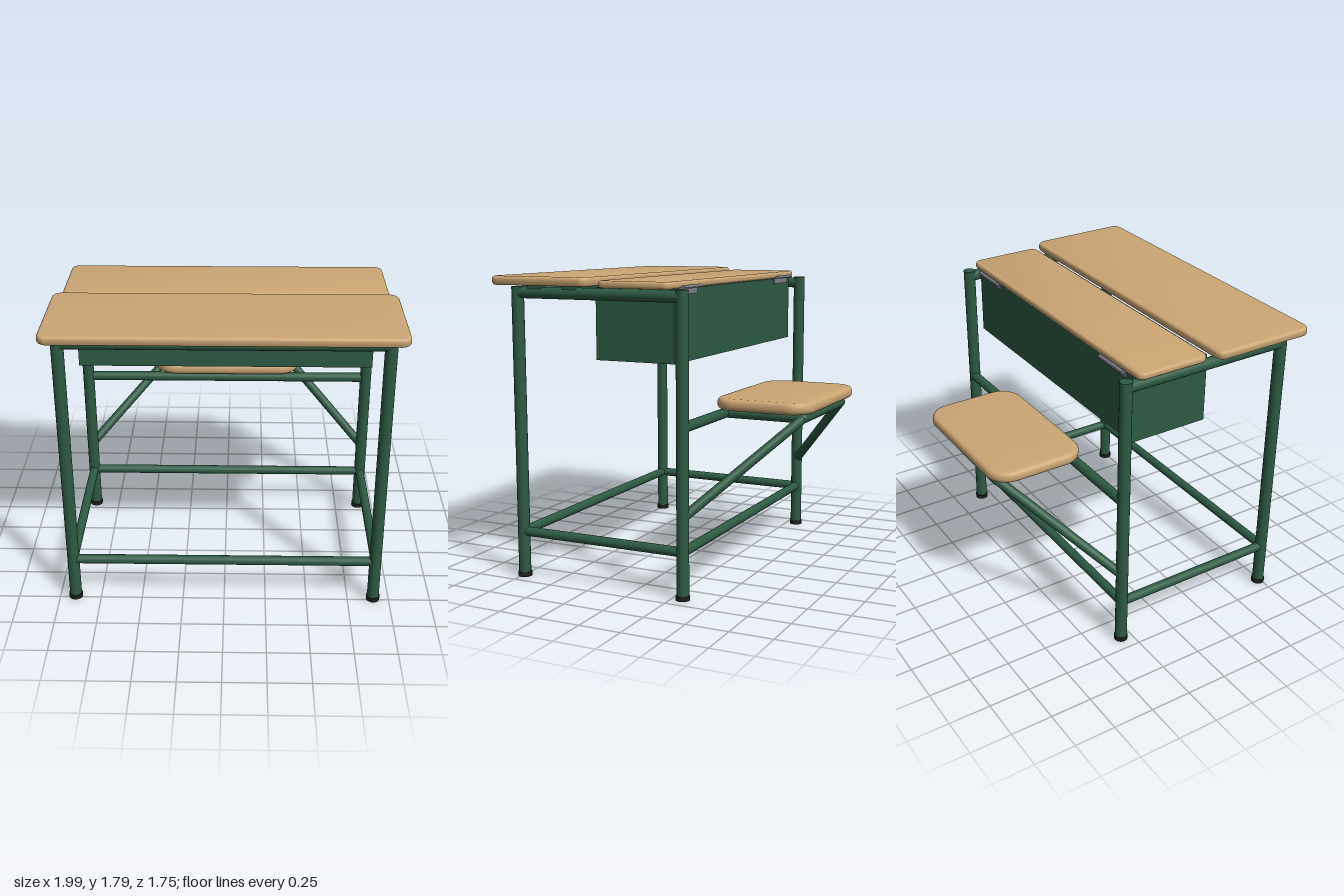
import * as THREE from 'three';
import { toCreasedNormals } from 'three/addons/utils/BufferGeometryUtils.js';

const material = (name, color) => {
  const m = new THREE.MeshStandardMaterial({ color });
  m.name = name;
  return m;
};

export function createModel() {
  const model = new THREE.Group();
  model.name = 'schoolDesk';
  const green = material('green paint', 0x2d5a43);
  const wood = material('light wood', 0xcca674);
  const black = material('black rubber', 0x1d1d1f);
  const grey = material('grey steel', 0x7d8188);

  const add = (name, geometry, mat, x = 0, y = 0, z = 0) => {
    const mesh = new THREE.Mesh(geometry, mat);
    mesh.name = name;
    mesh.position.set(x, y, z);
    model.add(mesh);
    return mesh;
  };
  const box = (name, mat, w, h, d, x, y, z) => add(name, new THREE.BoxGeometry(w, h, d), mat, x, y, z);

  // Straight round tube between two points
  const tube = (name, a, b, r, mat = green) => {
    const p = new THREE.Vector3(...a), q = new THREE.Vector3(...b);
    const dir = q.clone().sub(p);
    const mesh = add(name, new THREE.CylinderGeometry(r, r, dir.length(), 20), mat);
    mesh.position.copy(p).add(q).multiplyScalar(0.5);
    mesh.quaternion.setFromUnitVectors(new THREE.Vector3(0, 1, 0), dir.normalize());
    return mesh;
  };

  // Rounded wooden slab lying flat, with softened edges
  const board = (name, w, d, h, corner, bevel, y, z) => {
    const x = w / 2 - bevel, v = d / 2 - bevel, r = corner - bevel;
    const s = new THREE.Shape();
    s.absarc(x - r, v - r, r, 0, Math.PI / 2);
    s.absarc(-x + r, v - r, r, Math.PI / 2, Math.PI);
    s.absarc(-x + r, -v + r, r, Math.PI, Math.PI * 1.5);
    s.absarc(x - r, -v + r, r, Math.PI * 1.5, Math.PI * 2);
    s.closePath();
    let g = new THREE.ExtrudeGeometry(s, {
      depth: h - 2 * bevel, bevelEnabled: true, bevelSize: bevel,
      bevelThickness: bevel, bevelSegments: 4, curveSegments: 10,
    });
    g.translate(0, 0, bevel);
    g.rotateX(-Math.PI / 2);
    g = toCreasedNormals(g, 0.7);
    add(name, g, wood, 0, y, z);
  };

  const X = 0.905, F = 0.737, B = -0.317;

  // Legs, feet and side rails
  for (const x of [-X, X]) {
    for (const z of [F, B]) {
      tube('leg', [x, 0.01, z], [x, z === F ? 1.725 : 1.73, z], 0.036);
      tube('footCap', [x, 0, z], [x, 0.027, z], 0.041, black);
    }
    tube('sideTopRail', [x, 1.692, F], [x, 1.692, B], 0.034);
    tube('sideLowerRail', [x, 0.275, F], [x, 0.275, B], 0.028);
    for (const z of [0.61, 0.38]) box('sideBracket', green, 0.05, 0.03, 0.09, x, 1.723, z);
  }

  // Cross rails
  tube('frontTopRail', [-X, 1.692, F], [X, 1.692, F], 0.034);
  for (const z of [F, B]) tube('lowerRail', [-X, 0.275, z], [X, 0.275, z], 0.028);
  tube('seatRail', [-X, 0.98, B - 0.008], [X, 0.98, B - 0.008], 0.03);
  for (const x of [-0.47, 0.47]) box('frontBracket', green, 0.1, 0.03, 0.08, x, 1.723, F);

  // Open-topped storage bin
  const t = 0.012, top = 1.728, low = 1.32, mid = (top + low) / 2, h = top - low;
  box('binBottom', green, 1.744, t, 0.49, 0, low + t / 2, -0.007);
  for (const z of [0.232, -0.246]) box('binPanel', green, 1.744, h, t, 0, mid, z);
  for (const x of [-0.866, 0.866]) box('binSide', green, t, h, 0.466, x, mid, -0.007);

  // Desk top and bin lid
  board('deskTop', 1.99, 0.645, 0.052, 0.055, 0.017, 1.735, 0.552);
  board('binLid', 1.9, 0.452, 0.042, 0.045, 0.015, 1.728, -0.035);

  // Lid hinges
  for (const x of [-0.705, 0.705]) {
    tube('hingeBarrel', [x - 0.115, 1.738, -0.28], [x + 0.115, 1.738, -0.28], 0.01, grey);
    box('hingePlate', grey, 0.23, 0.006, 0.05, x, 1.732, -0.27);
    box('hingeLeaf', grey, 0.23, 0.04, 0.006, x, 1.715, -0.256);
  }

  // Seat with its tubular frame and diagonal braces
  board('seat', 0.94, 0.6, 0.07, 0.14, 0.028, 1.01, -0.58);
  const sx = 0.34, sz = -0.81;
  tube('seatFrameBack', [-sx, 0.98, sz], [sx, 0.98, sz], 0.03);
  for (const s of [-1, 1]) {
    tube('seatFrameSide', [s * sx, 0.98, B], [s * sx, 0.98, sz], 0.03);
    tube('seatBrace', [s * 0.9, 0.48, B - 0.01], [s * sx, 0.98, sz], 0.028);
    add('frameCorner', new THREE.SphereGeometry(0.03, 16, 12), green, s * sx, 0.98, sz);
    box('seatBracket', green, 0.06, 0.024, 0.09, s * sx, 1.002, -0.59);
  }

  return model;
}
